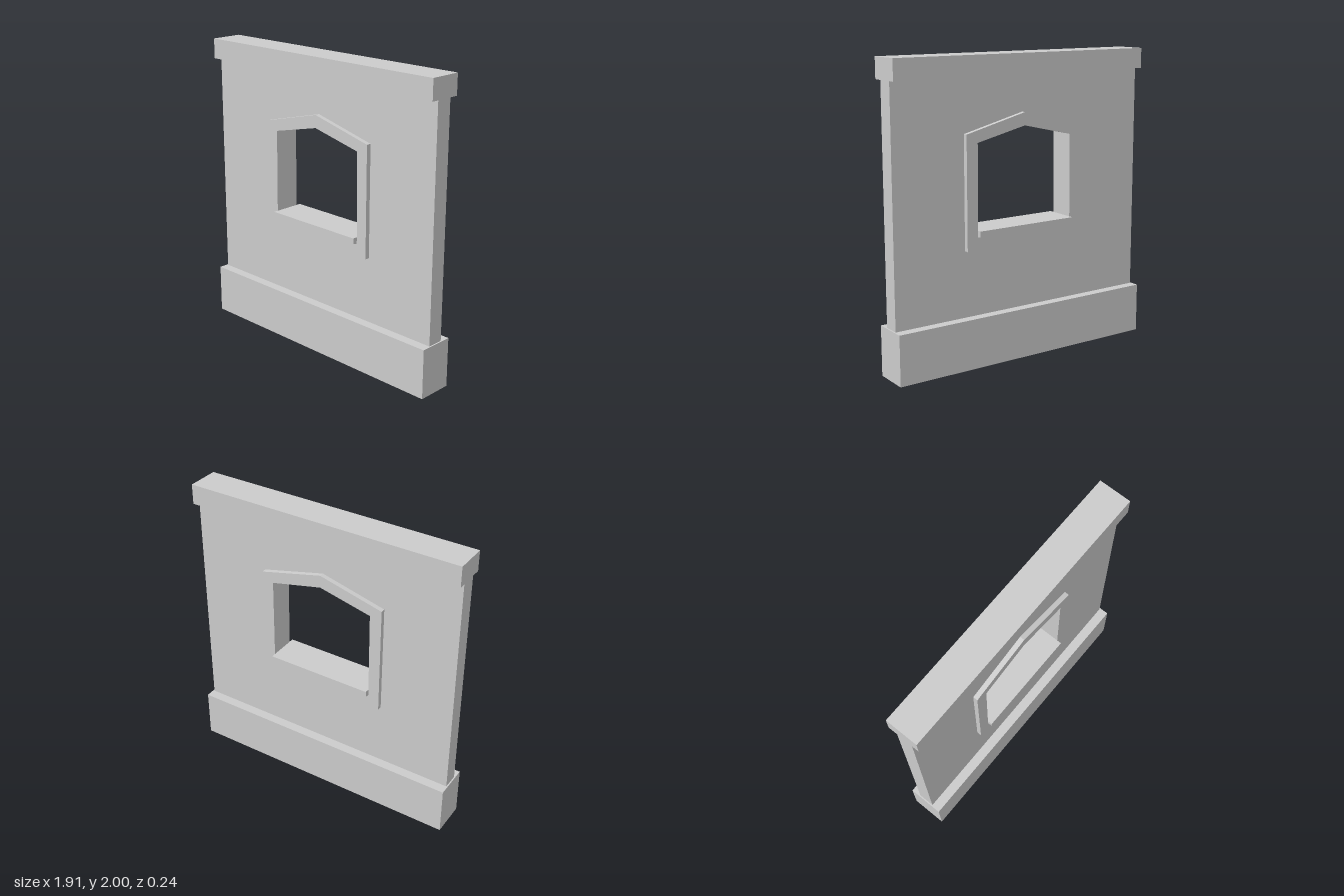
import * as THREE from 'three';

const material = new THREE.MeshStandardMaterial({ color: 0xcccccc, flatShading: true });
const shellMaterial = material.clone();
shellMaterial.side = THREE.DoubleSide;

const points = (list) => list.map(([x, y]) => new THREE.Vector2(x, y));

// Gabled window outline: sill level, eaves level, peak level
const gable = (bottomHalf, topHalf, sill, eaves, peak) => points([
  [-bottomHalf, sill], [bottomHalf, sill], [topHalf, eaves], [0, peak], [-topHalf, eaves],
]);

// Extrude an outline, centred on its depth, with an optional hole
function slab(outline, depth, hole) {
  const shape = new THREE.Shape(outline);
  if (hole) shape.holes.push(new THREE.Path(hole));
  return new THREE.ExtrudeGeometry(shape, { depth, bevelEnabled: false }).translate(0, 0, -depth / 2);
}

export function createModel() {
  const group = new THREE.Group();
  const add = (name, geometry, mat = material) => {
    const mesh = new THREE.Mesh(geometry, mat);
    mesh.name = name;
    group.add(mesh);
  };

  // Base plinth, open underneath (the fourth box side is the bottom)
  const base = new THREE.BoxGeometry(1.914, 0.333, 0.24).translate(0, 0.1665, 0);
  const index = Array.from(base.index.array);
  index.splice(18, 6);
  base.setIndex(index);
  base.clearGroups();
  add('basePlinth', base, shellMaterial);

  // Wall panel; the cut edge is hidden inside the window frame
  const wall = points([[-0.948, 0.333], [0.948, 0.333], [0.948, 1.865], [-0.948, 1.865]]);
  add('wallPanel', slab(wall, 0.11, gable(0.4, 0.4, 0.81, 1.485, 1.58)));

  // Cap along the top
  add('topCap', new THREE.BoxGeometry(1.904, 0.135, 0.22).translate(0, 1.9325, 0));

  // Window frame standing proud on both faces
  add('windowFrame', slab(
    gable(0.441, 0.441, 0.771, 1.515, 1.625), 0.174,
    gable(0.365, 0.36, 0.857, 1.457, 1.54),
  ));

  // Sill running through the opening, with a sloped underside at each nose
  const sill = points([
    [-0.087, 0.855], [0.087, 0.855], [0.119, 0.863], [0.119, 0.9], [-0.119, 0.9], [-0.119, 0.863],
  ]);
  add('windowSill', slab(sill, 0.73).rotateY(Math.PI / 2));

  return group;
}
